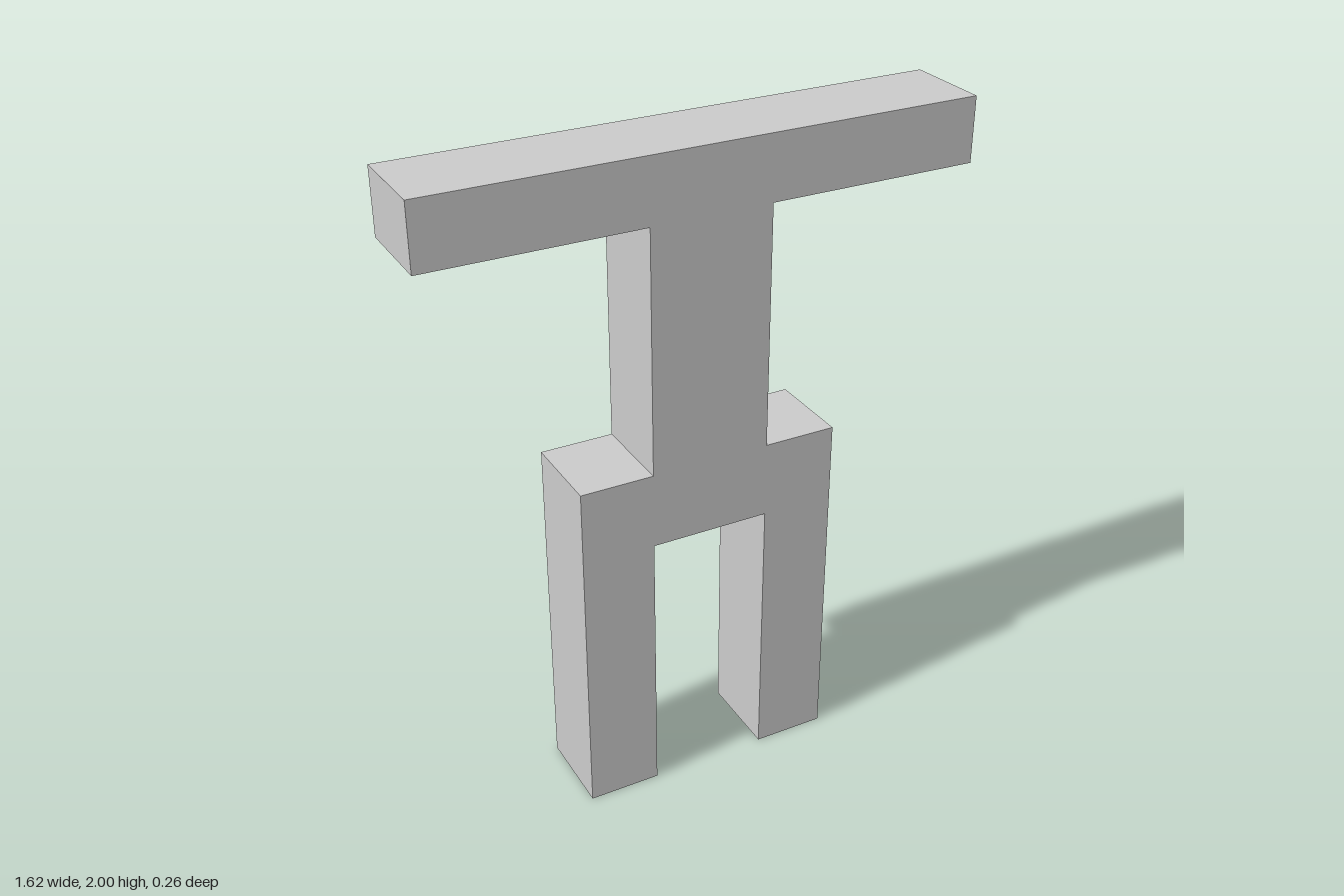
import * as THREE from 'three';

const DEPTH = 0.265;

export function createModel() {
  const group = new THREE.Group();
  group.name = 'figure';
  const material = new THREE.MeshStandardMaterial({ color: 0xcccccc, flatShading: true });

  // Left half of the outline, from the crotch round to the top of the arms
  const half = [
    [0.18, 0.85], [0.18, 0], [0.4, 0], [0.4, 1.08],
    [0.18, 1.08], [0.18, 1.81], [0.81, 1.81], [0.81, 2],
  ];
  // Mirror it into a closed silhouette: legs, hips, torso and arms in one piece
  const mirrored = half.map(([x, y]) => [-x, y]).reverse();
  const outline = new THREE.Shape([...half, ...mirrored].map(([x, y]) => new THREE.Vector2(x, y)));

  const geometry = new THREE.ExtrudeGeometry(outline, { depth: DEPTH, bevelEnabled: false });
  geometry.translate(0, 0, -DEPTH / 2);

  const body = new THREE.Mesh(geometry, material);
  body.name = 'body';
  group.add(body);
  return group;
}
